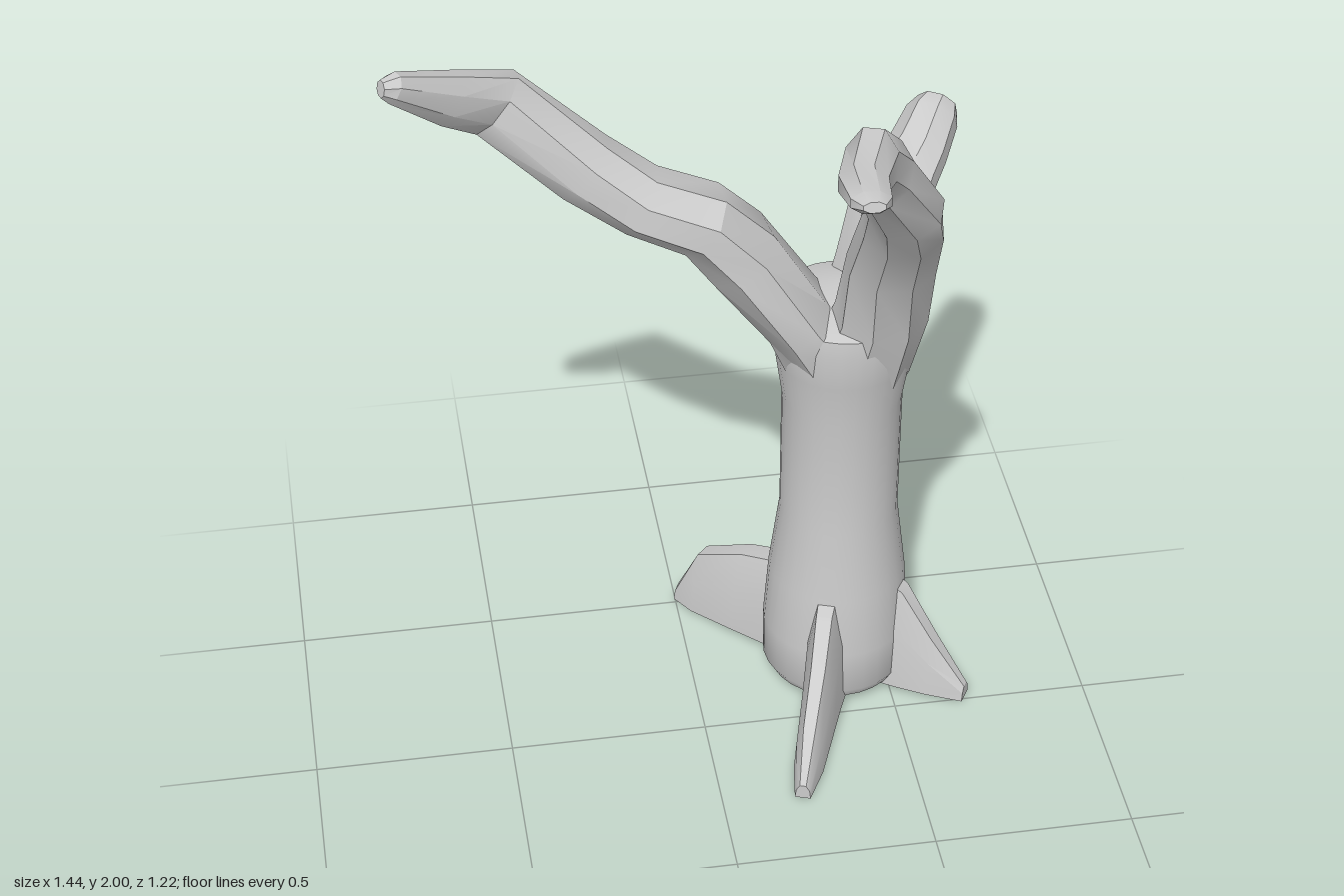
import * as THREE from 'three';
import { toCreasedNormals } from 'three/addons/utils/BufferGeometryUtils.js';

const material = new THREE.MeshStandardMaterial({ color: 0xcccccc });
const CENTRE = new THREE.Vector3(0.375, 0, -0.2);

// Skin a list of closed cross-sections (arrays of Vector3) and cap both ends.
function loft(name, sections, crease) {
  const n = sections[0].length;
  const points = sections.flat();
  const index = [];
  for (let i = 0; i < sections.length - 1; i++) {
    for (let j = 0; j < n; j++) {
      const a = i * n + j, b = i * n + (j + 1) % n;
      index.push(a, b, a + n, b, b + n, a + n);
    }
  }
  const last = (sections.length - 1) * n;
  for (let j = 1; j < n - 1; j++) {
    index.push(0, j + 1, j, last, last + j, last + j + 1);
  }
  const geometry = new THREE.BufferGeometry().setFromPoints(points);
  geometry.setIndex(index);
  const mesh = new THREE.Mesh(toCreasedNormals(geometry, crease), material);
  mesh.name = name;
  return mesh;
}

// Branch through rings of [x, y, z, half width, half thickness].
function branch(name, rings, sides = 8) {
  const pos = rings.map(r => new THREE.Vector3(r[0], r[1], r[2]));
  const first = pos[0], end = pos[pos.length - 1];
  // One sideways direction per ring, level and across the local heading
  const sections = rings.map((r, i) => {
    const before = pos[Math.max(i - 1, 0)], after = pos[Math.min(i + 1, pos.length - 1)];
    const tangent = after.clone().sub(before).normalize();
    const heading = after.clone().sub(before).setY(0).normalize()
      .add(end.clone().sub(first).setY(0).normalize());
    const side = new THREE.Vector3(heading.z, 0, -heading.x);
    side.addScaledVector(tangent, -side.dot(tangent)).normalize();
    const up = tangent.clone().cross(side);
    return Array.from({ length: sides }, (_, j) => {
      const a = (j + 0.5) / sides * Math.PI * 2;
      const k = 1.06;
      return pos[i].clone()
        .addScaledVector(side, Math.cos(a) * r[3] * k)
        .addScaledVector(up, Math.sin(a) * r[4] * k);
    });
  });
  return loft(name, sections, 0.5);
}

// Buttress root towards a tip, through stations of [distance, height, half width].
function root(name, tipX, tipZ, stations) {
  const dir = new THREE.Vector3(tipX, 0, tipZ).sub(CENTRE).normalize();
  const side = new THREE.Vector3(dir.z, 0, -dir.x);
  const far = stations[stations.length - 1][0];
  const sections = stations.map(([d, h, w]) => {
    const floor = 0.035 * (1 - d / far);
    const outline = [[-1, floor], [1, floor], [0.85, floor + (h - floor) * 0.6],
      [0.4, h], [-0.4, h], [-0.85, floor + (h - floor) * 0.6]];
    return outline.map(([s, y]) => CENTRE.clone()
      .addScaledVector(dir, d).addScaledVector(side, s * w).setY(y));
  });
  return loft(name, sections, 0.5);
}

export function createModel() {
  const tree = new THREE.Group();
  tree.name = 'bareTree';

  // Waisted trunk with a shallow crown where the branches part
  const profile = [[0, 0.03], [0.17, 0.03], [0.187, 0.06], [0.187, 0.18], [0.175, 0.35],
    [0.15, 0.55], [0.15, 0.9], [0.168, 1.02], [0.18, 1.12], [0.175, 1.165], [0, 1.22]];
  const lathe = new THREE.LatheGeometry(profile.map(p => new THREE.Vector2(...p)), 28);
  const trunk = new THREE.Mesh(toCreasedNormals(lathe, 0.7), material);
  trunk.name = 'trunk';
  trunk.position.copy(CENTRE);
  tree.add(trunk);

  // Three crooked branches
  tree.add(branch('longBranch', [
    [0.34, 1.0, -0.2, 0.12, 0.11],
    [0.245, 1.16, -0.2, 0.165, 0.085],
    [0.11, 1.35, -0.2, 0.135, 0.095],
    [0.02, 1.465, -0.17, 0.11, 0.085],
    [-0.12, 1.52, -0.19, 0.1, 0.08],
    [-0.25, 1.61, -0.215, 0.085, 0.085],
    [-0.45, 1.8, -0.225, 0.05, 0.085],
    [-0.56, 1.865, -0.155, 0.042, 0.065],
    [-0.69, 1.96, -0.065, 0.03, 0.035],
    [-0.715, 1.965, -0.055, 0.018, 0.02],
  ]));
  tree.add(branch('frontBranch', [
    [0.41, 1.0, -0.17, 0.12, 0.11],
    [0.445, 1.2, -0.1, 0.11, 0.095],
    [0.45, 1.38, -0.04, 0.105, 0.08],
    [0.45, 1.55, 0.06, 0.095, 0.08],
    [0.435, 1.66, 0.15, 0.085, 0.075],
    [0.365, 1.81, 0.22, 0.065, 0.08],
    [0.31, 1.91, 0.33, 0.06, 0.08],
    [0.27, 1.935, 0.44, 0.055, 0.045],
    [0.26, 1.975, 0.57, 0.045, 0.025],
    [0.26, 1.985, 0.605, 0.025, 0.012],
  ]));
  tree.add(branch('shortBranch', [
    [0.42, 1.0, -0.25, 0.11, 0.1],
    [0.475, 1.2, -0.31, 0.1, 0.07],
    [0.51, 1.33, -0.355, 0.095, 0.065],
    [0.56, 1.38, -0.42, 0.085, 0.06],
    [0.605, 1.4, -0.48, 0.075, 0.06],
    [0.655, 1.45, -0.55, 0.065, 0.06],
    [0.675, 1.465, -0.58, 0.05, 0.045],
  ]));

  // Three roots spreading from the foot
  tree.add(root('backRoot', 0.02, -0.54,
    [[0.1, 0.3, 0.075], [0.28, 0.25, 0.065], [0.42, 0.18, 0.055], [0.49, 0.04, 0.035]]));
  tree.add(root('frontRoot', 0.2, 0.3,
    [[0.1, 0.36, 0.06], [0.21, 0.33, 0.05], [0.3, 0.23, 0.045], [0.43, 0.15, 0.038], [0.525, 0.04, 0.02]]));
  tree.add(root('sideRoot', 0.69, -0.01,
    [[0.1, 0.38, 0.06], [0.19, 0.31, 0.055], [0.27, 0.18, 0.045], [0.365, 0.04, 0.025]]));

  return tree;
}
